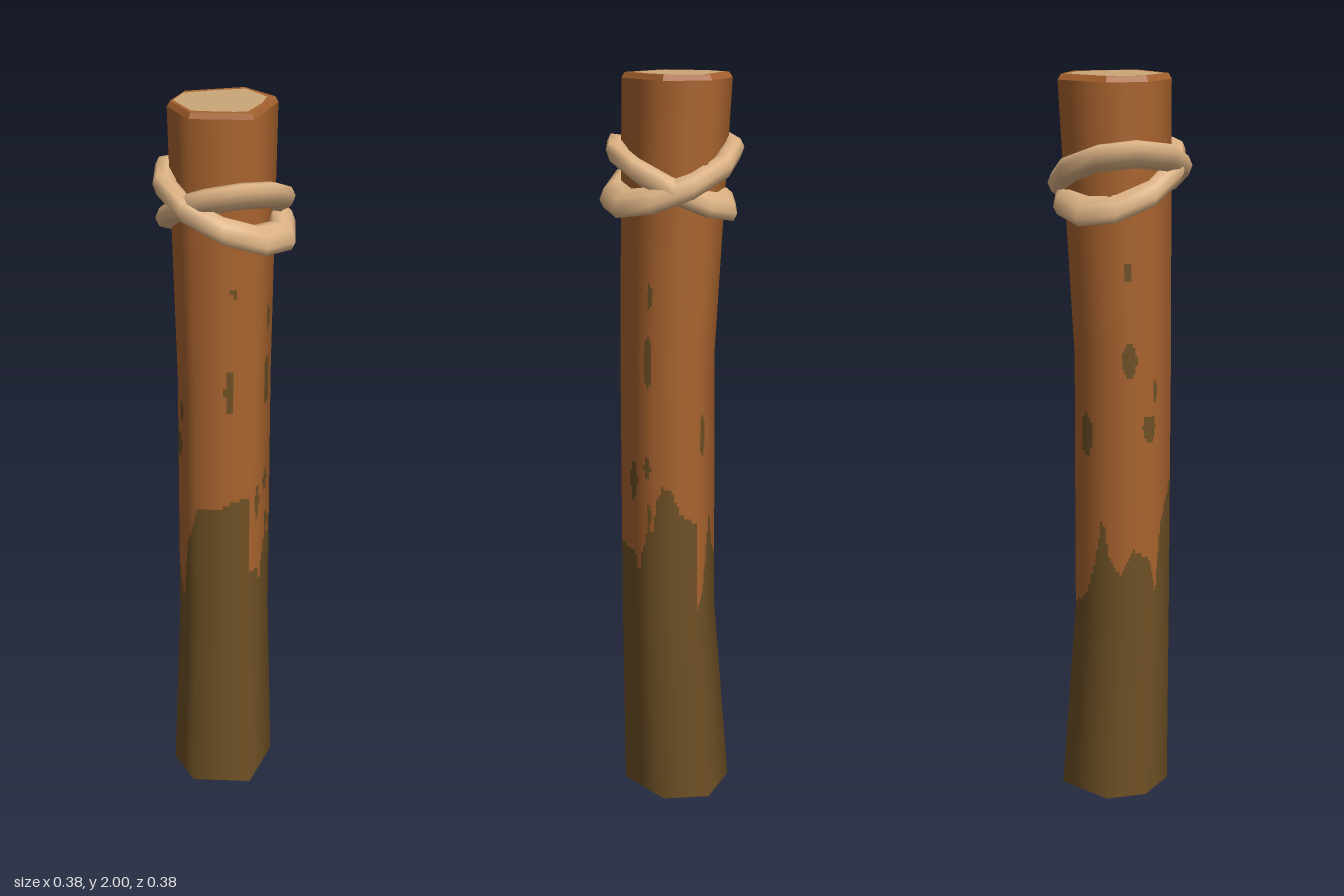
import * as THREE from 'three';

const mat = (name, color) => Object.assign(new THREE.MeshStandardMaterial({ color }), { name });

// Six-sided outline of the post as [x, z], counter-clockwise seen from above, starting at the front corner
const outline = [[0.025, 0.13], [0.15, -0.007], [0.11, -0.128], [-0.057, -0.153], [-0.132, -0.07], [-0.123, 0.06]];
// Post sections: height, scale, x offset, z offset
const sections = [[0, 1, 0, 0], [0.53, 0.88, -0.007, 0.024], [1.25, 0.88, -0.007, 0.026], [1.985, 1, 0, 0]];
// Upper edge of the stain on each side: [position along side, height]
const stainEdge = [
  [[0, 0.71], [0.4, 0.69], [0.5, 0.635], [0.6, 0.7], [0.78, 0.78], [0.9, 0.76], [1, 0.85]],
  [[0, 0.85], [0.15, 0.9], [0.4, 0.88], [0.6, 0.82], [1, 0.79]],
  [[0, 0.54], [0.25, 0.57], [0.45, 0.65], [0.68, 0.81], [0.85, 0.69], [1, 0.67]],
  [[0, 0.67], [0.15, 0.65], [0.5, 0.72], [1, 0.69]],
  [[0, 0.69], [0.25, 0.58], [0.5, 0.77], [1, 0.9]],
  [[0, 0.9], [0.5, 0.905], [0.75, 0.93], [1, 0.94]],
];
// Stain spots: position around (side + fraction), height, half width, half height
const spots = [
  [0.37, 0.9, 0.1, 0.055], [0.75, 0.945, 0.1, 0.03], [0.8, 0.81, 0.05, 0.035], [0.78, 1.24, 0.11, 0.07],
  [0.8, 1.42, 0.07, 0.035], [2.3, 1.03, 0.13, 0.06], [3.4, 1.49, 0.12, 0.03], [3.4, 1.25, 0.2, 0.045],
  [4.0, 1.06, 0.22, 0.04], [4.2, 1.16, 0.1, 0.03], [5.62, 1.25, 0.09, 0.065], [5.7, 1.53, 0.06, 0.014],
];

function lookup(points, t) {
  let i = 0;
  while (i < points.length - 2 && t > points[i + 1][0]) i++;
  const a = points[i], b = points[i + 1], k = (t - a[0]) / (b[0] - a[0]);
  return a.map((v, j) => v + (b[j] - v) * k);
}

function isStained(u, y) {
  const side = Math.floor(u);
  return y < lookup(stainEdge[side], u - side)[1] ||
    spots.some(([su, sy, w, h]) => ((u - su) / w) ** 2 + ((y - sy) / h) ** 2 < 1);
}

// Smooth corner normals: the average of the two neighbouring sides
const sideNormal = (i) => {
  const a = outline[i % 6], b = outline[(i + 1) % 6];
  return new THREE.Vector3(-(b[1] - a[1]), 0, b[0] - a[0]).normalize();
};
const cornerNormals = outline.map((_, i) => sideNormal(i).add(sideNormal(i + 5)).normalize());

// Post shell on a fine grid, each cell taking the bark or the stain colour
function shellGeometry() {
  const perSide = 16, cols = 6 * perSide;
  const rows = [0];
  for (let k = 0; k <= 85; k++) rows.push(0.53 + k * 0.012);
  rows.push(1.76, 1.985);
  const pos = [], nor = [], cells = [[], []];
  rows.forEach((y) => {
    const [, s, dx, dz] = lookup(sections, y);
    for (let c = 0; c <= cols; c++) {
      const i = Math.floor(c / perSide) % 6, j = (i + 1) % 6, t = (c % perSide) / perSide;
      const x = outline[i][0] + (outline[j][0] - outline[i][0]) * t;
      const z = outline[i][1] + (outline[j][1] - outline[i][1]) * t;
      pos.push(x * s + dx, y, z * s + dz);
      nor.push(...cornerNormals[i].clone().lerp(cornerNormals[j], t).normalize().toArray());
    }
  });
  for (let r = 0; r < rows.length - 1; r++) {
    for (let c = 0; c < cols; c++) {
      const a = r * (cols + 1) + c, d = a + cols + 1;
      const stained = isStained((c + 0.5) / perSide, (rows[r] + rows[r + 1]) / 2);
      cells[stained ? 1 : 0].push(a, a + 1, d + 1, a, d + 1, d);
    }
  }
  const g = new THREE.BufferGeometry();
  g.setAttribute('position', new THREE.Float32BufferAttribute(pos, 3));
  g.setAttribute('normal', new THREE.Float32BufferAttribute(nor, 3));
  g.setIndex([...cells[0], ...cells[1]]);
  g.addGroup(0, cells[0].length, 0);
  g.addGroup(cells[0].length, cells[1].length, 1);
  return g;
}

// Bevel between the shell and the cut top
function bevelGeometry(s) {
  const pos = [];
  outline.forEach(([x, z], i) => {
    const [x2, z2] = outline[(i + 1) % 6];
    const a = [x, 1.985, z], b = [x2, 1.985, z2], c = [x2 * s, 2, z2 * s], d = [x * s, 2, z * s];
    pos.push(...a, ...b, ...c, ...a, ...c, ...d);
  });
  const g = new THREE.BufferGeometry();
  g.setAttribute('position', new THREE.Float32BufferAttribute(pos, 3));
  g.computeVertexNormals();
  return g;
}

// Flat polygons: points are [x, z]; the result faces up
const toShapePoints = (pts, s = 1) => pts.map(([x, z]) => new THREE.Vector2(x * s, -z * s));
const flat = (shape) => new THREE.ShapeGeometry(shape).rotateX(-Math.PI / 2);

// Rope loop: a ten-segment ring sheared so it slopes along x and z
function ropeGeometry(radius, tube, y, slopeX, slopeZ, turn) {
  const shear = new THREE.Matrix4().set(1, 0, 0, 0, slopeX, 1, slopeZ, y, 0, 0, 1, 0, 0, 0, 0, 1);
  return new THREE.TorusGeometry(radius, tube, 8, 10).rotateX(Math.PI / 2).rotateY(turn).applyMatrix4(shear);
}

export function createModel() {
  const bark = mat('bark brown', 0xa8632e);
  const stain = mat('damp stain', 0x6e5025);
  const cut = mat('cut wood', 0xcba678);
  const rope = mat('rope tan', 0xdcb284);
  const model = new THREE.Group();
  model.name = 'woodenPost';
  const add = (name, geometry, material) => {
    const mesh = new THREE.Mesh(geometry, material);
    mesh.name = name;
    model.add(mesh);
    return mesh;
  };

  add('postShell', shellGeometry(), [bark, stain]);
  add('topBevel', bevelGeometry(0.94), bark);

  // Cut top: pale heartwood inside a bark rim
  const heart = toShapePoints([[0.022, 0.1], [0.085, 0.04], [0.12, -0.012], [0.1, -0.105], [0.02, -0.12],
    [-0.065, -0.127], [-0.114, -0.07], [-0.108, 0.04], [-0.085, 0.055], [-0.01, 0.093]]);
  const rim = new THREE.Shape(toShapePoints(outline, 0.94));
  rim.holes.push(new THREE.Path(heart));
  add('topRim', flat(rim), bark).position.y = 2;
  add('topHeartwood', flat(new THREE.Shape(heart)), cut).position.y = 2;

  // Underside
  const base = flat(new THREE.Shape(toShapePoints(outline.map(([x, z]) => [x, -z]))));
  add('underside', base.rotateX(Math.PI), stain);

  // Two crossing rope loops
  add('ropeLoopOuter', ropeGeometry(0.157, 0.036, 1.735, -0.32, -0.3, -0.1), rope);
  add('ropeLoopInner', ropeGeometry(0.147, 0.035, 1.725, -0.03, 0.5, 0.2), rope);
  return model;
}
